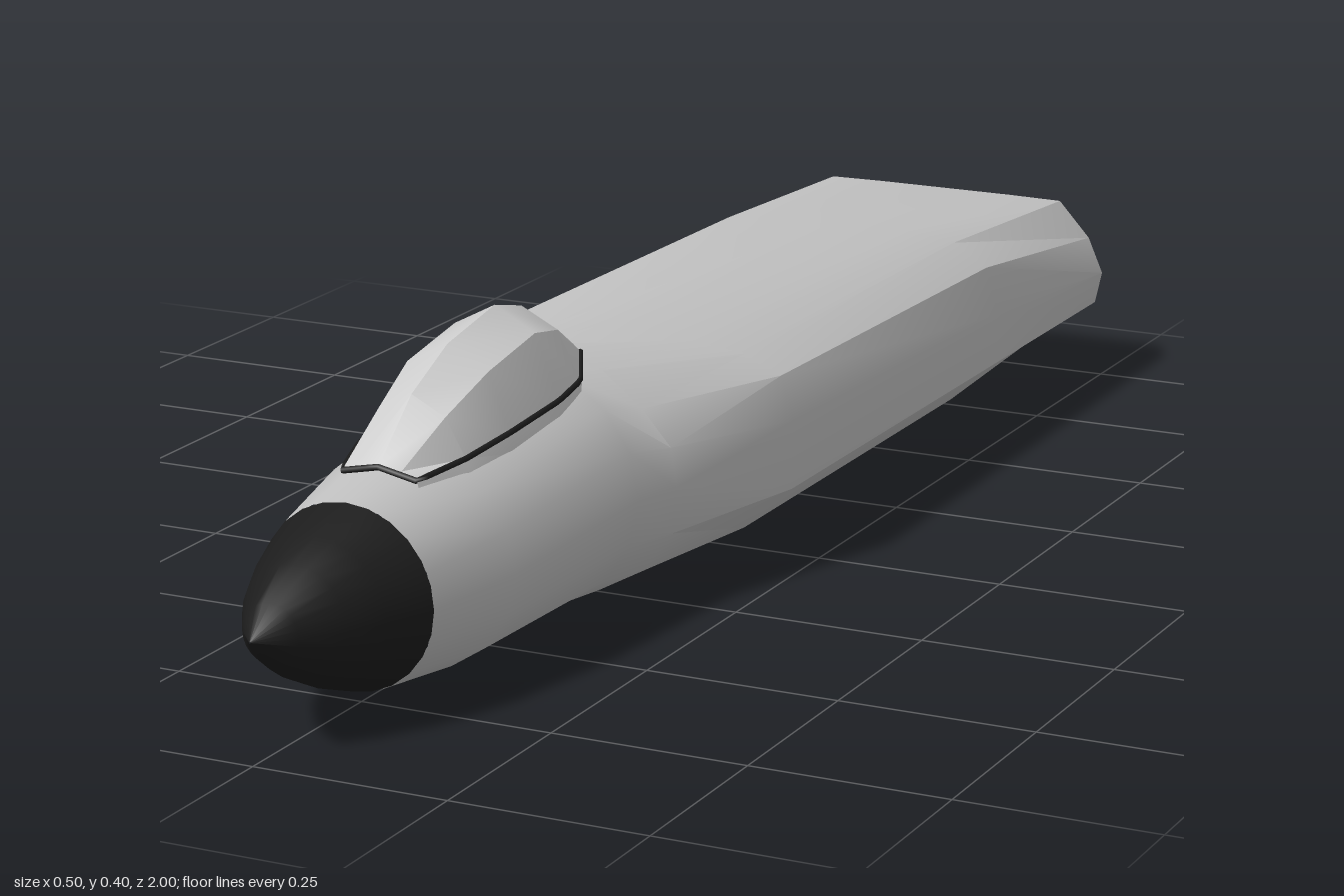
import * as THREE from 'three';
import { toCreasedNormals } from 'three/addons/utils/BufferGeometryUtils.js';

// Skin through mirrored half sections [z, [x, y]...], top centre first, front to back
function loft(sections, capBack = false, crease = 0.6) {
  const rings = sections.map(([z, ...half]) => [
    ...half.slice(1).reverse().map(([x, y]) => [-x, y, z]),
    ...half.map(([x, y]) => [x, y, z]),
  ]);
  const n = rings[0].length, index = [], pos = rings.flat(2);
  for (let i = 0; i < rings.length - 1; i++) {
    for (let j = 0; j < n - 1; j++) {
      const a = i * n + j, c = a + n;
      index.push(a, a + 1, c + 1, a, c + 1, c);
    }
  }
  if (capBack) {
    const start = (rings.length - 1) * n;
    for (let j = 1; j < n - 2; j++) index.push(start, start + j, start + j + 1);
  }
  const geo = new THREE.BufferGeometry();
  geo.setAttribute('position', new THREE.Float32BufferAttribute(pos, 3));
  geo.setIndex(index);
  return toCreasedNormals(geo, crease);
}

// Rounded half section with a given half width, top and bottom
function oval(z, w, top, bottom, steps = 8) {
  const cy = (top + bottom) / 2, h = (top - bottom) / 2, pts = [];
  for (let i = 0; i <= steps; i++) {
    const a = (i / steps) * Math.PI;
    pts.push([w * Math.sin(a), cy + h * Math.cos(a)]);
  }
  return [z, ...pts];
}

export function createModel() {
  const model = new THREE.Group();
  const grey = new THREE.MeshStandardMaterial({ color: 0xc0c0c0 });
  grey.name = 'light grey skin';
  const black = new THREE.MeshStandardMaterial({ color: 0x1c1c1c });
  black.name = 'black';
  const glass = new THREE.MeshStandardMaterial({ color: 0xcccccc });
  glass.name = 'pale canopy';
  const add = (name, geo, mat) => {
    const mesh = new THREE.Mesh(geo, mat);
    mesh.name = name;
    model.add(mesh);
  };

  // Nose cone
  add('noseCone', loft([
    oval(1, 0.001, 0.151, 0.149, 12),
    oval(0.955, 0.037, 0.183, 0.11, 12),
    oval(0.9, 0.07, 0.213, 0.074, 12),
    oval(0.85, 0.092, 0.233, 0.05, 12),
    oval(0.78, 0.115, 0.255, 0.025, 12),
  ], false, 1), black);

  // Fuselage: round in front, wide shouldered from the intakes back
  add('fuselage', loft([
    oval(0.78, 0.115, 0.255, 0.025),
    oval(0.63, 0.143, 0.282, 0.008),
    oval(0.34, 0.16, 0.315, 0.004),
    [0.27, [0, 0.323], [0.075, 0.298], [0.13, 0.255], [0.17, 0.21], [0.178, 0.16],
      [0.172, 0.1], [0.13, 0.045], [0.07, 0.012], [0, 0.003]],
    [0.06, [0, 0.308], [0.1, 0.288], [0.172, 0.28], [0.222, 0.257], [0.24, 0.2],
      [0.238, 0.11], [0.172, 0.05], [0.092, 0.015], [0, 0.003]],
    [-0.62, [0, 0.288], [0.1, 0.284], [0.172, 0.275], [0.222, 0.245], [0.24, 0.18],
      [0.238, 0.11], [0.172, 0.05], [0.092, 0.015], [0, 0.004]],
    [-1, [0, 0.256], [0.1, 0.256], [0.18, 0.255], [0.226, 0.205], [0.248, 0.155],
      [0.238, 0.11], [0.172, 0.068], [0.092, 0.042], [0, 0.035]],
  ], true), grey);

  // Canopy: faceted bubble sunk into the spine
  const canopy = [
    [0.7, [0, 0.278], [0.03, 0.275], [0.05, 0.266], [0.055, 0.25]],
    [0.62, [0, 0.345], [0.045, 0.322], [0.072, 0.275], [0.078, 0.255]],
    [0.53, [0, 0.385], [0.055, 0.357], [0.083, 0.285], [0.087, 0.26]],
    [0.41, [0, 0.405], [0.055, 0.376], [0.087, 0.295], [0.09, 0.27]],
    [0.34, [0, 0.388], [0.05, 0.363], [0.08, 0.302], [0.084, 0.28]],
    [0.26, [0, 0.328], [0.03, 0.324], [0.04, 0.315], [0.045, 0.3]],
  ];
  add('canopy', loft(canopy, false, 0.45), glass);

  // Dark seal along the foot of the canopy
  const side = canopy.map(([z, , , [x, y]]) => new THREE.Vector3(x, y, z));
  const mirrored = side.map((p) => new THREE.Vector3(-p.x, p.y, p.z));
  const seal = new THREE.CurvePath();
  const foot = [...side.reverse(), new THREE.Vector3(0, 0.277, 0.702), ...mirrored];
  for (let i = 1; i < foot.length; i++) seal.add(new THREE.LineCurve3(foot[i - 1], foot[i]));
  add('canopySeal', new THREE.TubeGeometry(seal, 60, 0.004, 6, false), black);

  return model;
}
